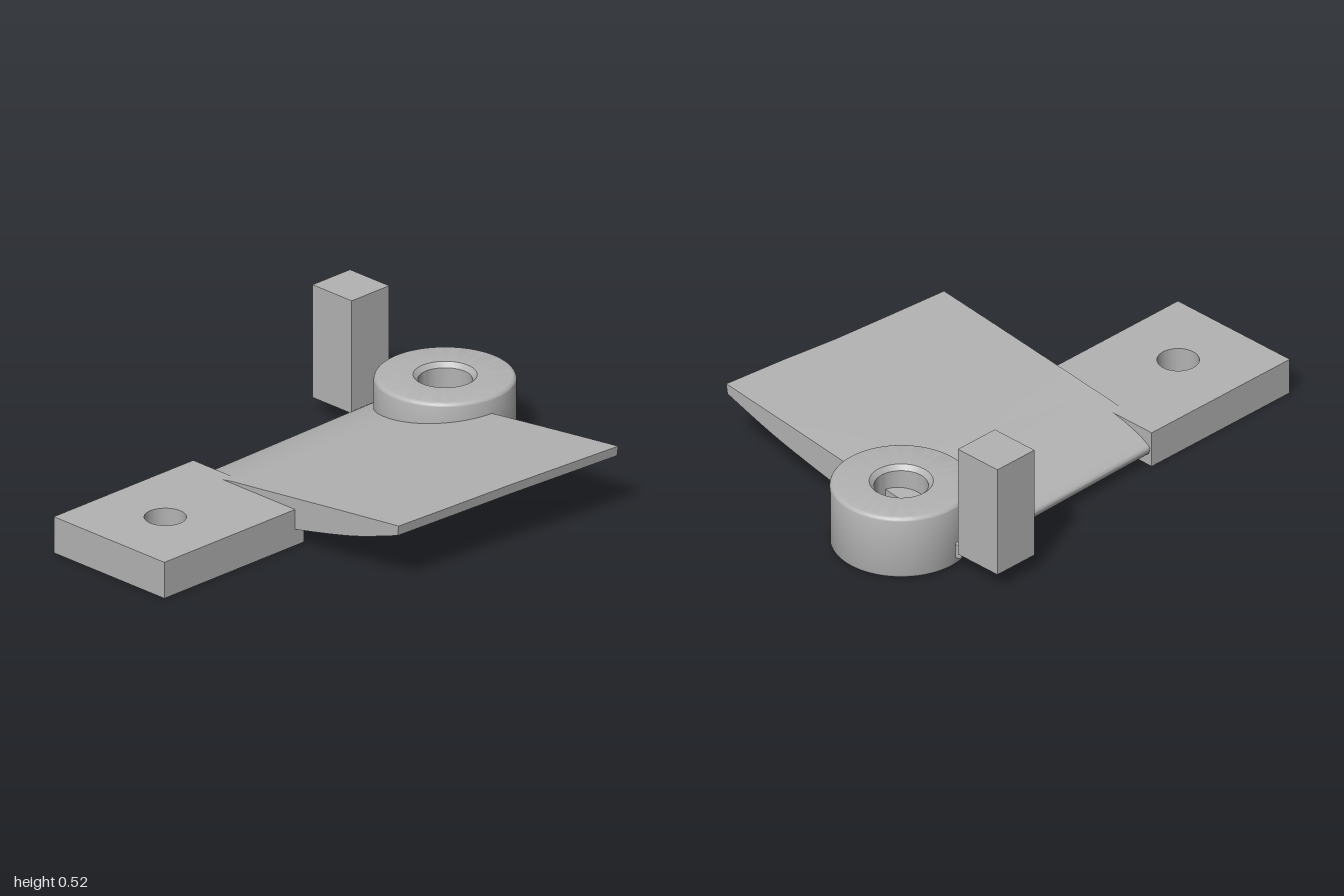
import * as THREE from 'three';
import { toCreasedNormals } from 'three/addons/utils/BufferGeometryUtils.js';

const metal = new THREE.MeshStandardMaterial({ color: 0xb3b3b3 });
metal.name = 'plain grey';

function part(name, geometry) {
  const mesh = new THREE.Mesh(geometry, metal);
  mesh.name = name;
  return mesh;
}

// Smooth curve through [x, y] pairs
const spline = (pts) => new THREE.SplineCurve(pts.map((p) => new THREE.Vector2(...p)));

// Curved blade lofted between stations along z
function bladeGeometry() {
  const top = spline([[0, 0.062], [0.006, 0.083], [0.07, 0.116], [0.18, 0.147], [0.35, 0.17], [0.51, 0.19], [0.75, 0.22], [1, 0.25]]);
  const bottom = spline([[0, 0.062], [0.012, 0.042], [0.07, 0.025], [0.18, 0.018], [0.35, 0.036], [0.51, 0.065], [0.78, 0.133], [0.995, 0.21]]);
  const n = 40;
  const upper = top.getPoints(n), lower = bottom.getPoints(n);
  // z, leading edge x, trailing edge x, lift at the tip
  const stations = [[-0.72, -0.513, 0.705, 0.021], [-0.45, -0.508, 0.68, 0.016], [-0.2, -0.502, 0.653, 0.009], [0.06, -0.496, 0.634, 0.004], [0.325, -0.49, 0.615, 0]];
  const rings = stations.map(([z, x0, x1, lift]) => {
    const place = (p) => new THREE.Vector3(x0 + (x1 - x0) * p.x, p.y + lift * Math.max(0, p.x), z);
    return { up: upper.map(place), low: lower.map(place) };
  });
  const pos = [];
  const tri = (...vs) => vs.forEach((v) => pos.push(v.x, v.y, v.z));
  const quad = (a, b, c, d) => { tri(a, b, c); tri(a, c, d); };
  for (let s = 0; s < rings.length - 1; s++) {
    const b = rings[s], f = rings[s + 1];
    for (let i = 0; i < n; i++) {
      quad(f.up[i], f.up[i + 1], b.up[i + 1], b.up[i]);
      quad(b.low[i], b.low[i + 1], f.low[i + 1], f.low[i]);
    }
    quad(f.low[n], b.low[n], b.up[n], f.up[n]); // blunt trailing edge
  }
  // End faces
  const back = rings[0], front = rings[rings.length - 1];
  for (let i = 0; i < n; i++) {
    quad(front.low[i], front.low[i + 1], front.up[i + 1], front.up[i]);
    quad(back.up[i], back.up[i + 1], back.low[i + 1], back.low[i]);
  }
  const g = new THREE.BufferGeometry();
  g.setAttribute('position', new THREE.Float32BufferAttribute(pos, 3));
  return toCreasedNormals(g, 0.6);
}

// Thick ring with rounded rims and a chamfered bore
function bossGeometry() {
  const R = 0.263, H = 0.261, f = 0.02, bore = 0.1, c = 0.018;
  const pts = [[bore, c], [bore + c, 0]];
  for (let i = 0; i <= 6; i++) {
    const a = (i / 6) * Math.PI / 2;
    pts.push([R - f + f * Math.sin(a), f - f * Math.cos(a)]);
  }
  for (let i = 0; i <= 6; i++) {
    const a = (i / 6) * Math.PI / 2;
    pts.push([R - f + f * Math.cos(a), H - f + f * Math.sin(a)]);
  }
  pts.push([bore + c, H], [bore, H - c], [bore, c]);
  const g = new THREE.LatheGeometry(pts.map((p) => new THREE.Vector2(...p)), 72);
  return toCreasedNormals(g, 0.5);
}

// Flat tab with a bolt hole
function tabGeometry() {
  const shape = new THREE.Shape();
  shape.moveTo(-0.502, -1);
  shape.lineTo(0.075, -1);
  shape.lineTo(0.075, -0.28);
  shape.lineTo(-0.502, -0.28);
  shape.closePath();
  const hole = new THREE.Path();
  hole.absarc(-0.213, -0.71, 0.078, 0, Math.PI * 2, true);
  shape.holes.push(hole);
  const g = new THREE.ExtrudeGeometry(shape, { depth: 0.145, bevelEnabled: false, curveSegments: 40 });
  g.rotateX(-Math.PI / 2);
  return toCreasedNormals(g, 0.5);
}

export function createModel() {
  const model = new THREE.Group();
  model.name = 'bladeBracket';

  model.add(part('blade', bladeGeometry()));
  model.add(part('mountingTab', tabGeometry()));

  const boss = part('pivotRing', bossGeometry());
  boss.position.set(-0.215, 0, -0.737);
  model.add(boss);

  // Upright stop beside the ring
  const post = part('uprightPost', new THREE.BoxGeometry(0.204, 0.453, 0.193));
  post.position.set(-0.609, 0.2985, -0.64);
  model.add(post);

  return model;
}
